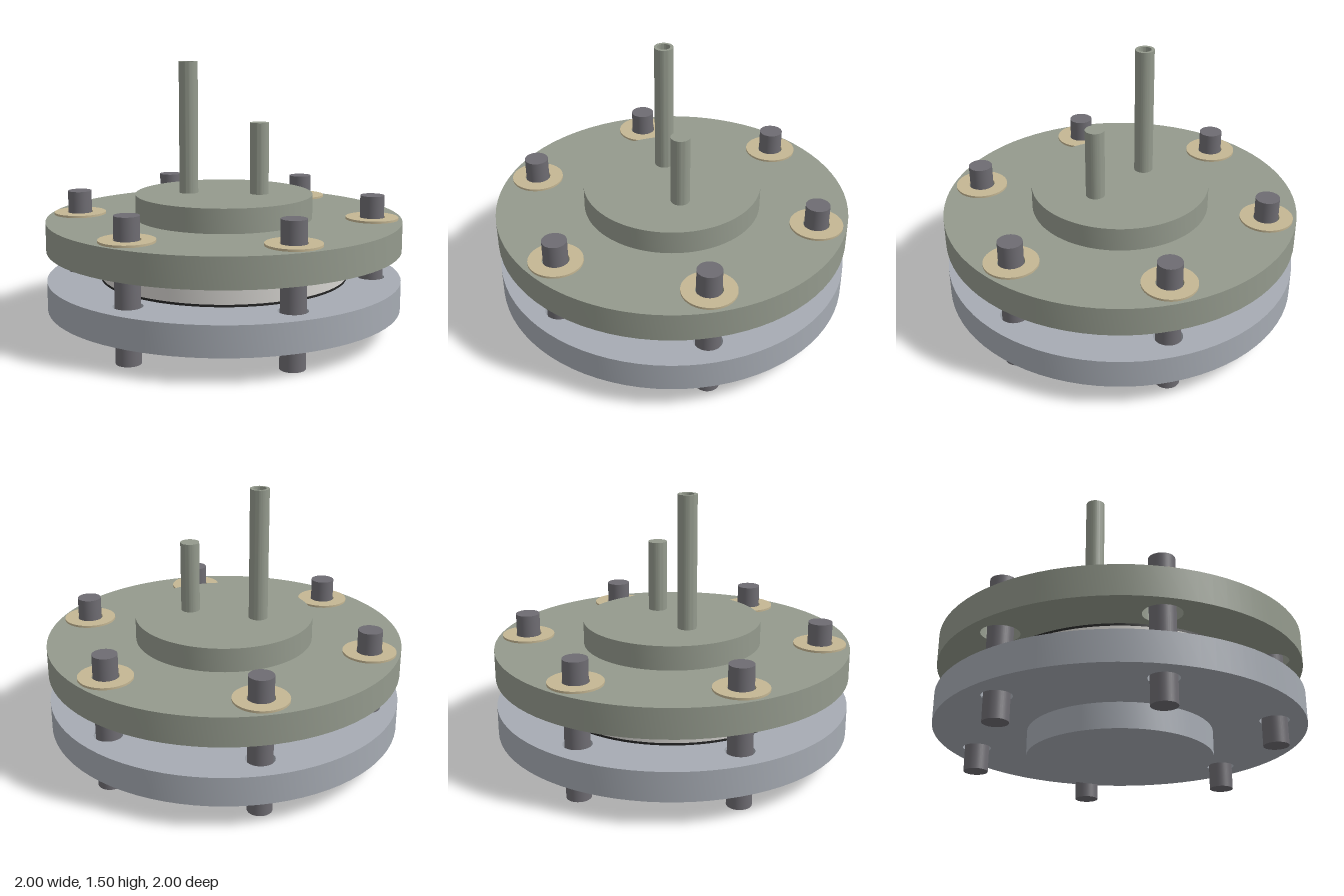
import * as THREE from 'three';
import { toCreasedNormals } from 'three/addons/utils/BufferGeometryUtils.js';

const material = (name, color) => {
  const m = new THREE.MeshStandardMaterial({ color });
  m.name = name;
  return m;
};

export function createModel() {
  const group = new THREE.Group();
  const greenGrey = material('green grey metal', 0x949a8d);
  const blueGrey = material('blue grey metal', 0xa6abb3);
  const darkSteel = material('dark steel', 0x6e6c72);
  const brass = material('pale brass', 0xc4b693);
  const ceramic = material('white ceramic', 0xd6d4d0);
  const rubber = material('black rubber', 0x262626);

  const add = (name, geometry, mat, x = 0, y = 0, z = 0) => {
    const mesh = new THREE.Mesh(geometry, mat);
    mesh.name = name;
    mesh.position.set(x, y, z);
    group.add(mesh);
  };

  // Upright disc from y0 to y1 with round holes given as [x, z, radius]
  const disc = (name, mat, radius, y0, y1, holes = [], x = 0, z = 0) => {
    const shape = new THREE.Shape().absarc(0, 0, radius, 0, Math.PI * 2, false);
    for (const [hx, hz, r] of holes) {
      shape.holes.push(new THREE.Path().absarc(hx, -hz, r, 0, Math.PI * 2, true));
    }
    const geometry = new THREE.ExtrudeGeometry(shape, {
      depth: y1 - y0, bevelEnabled: false, curveSegments: 40,
    });
    geometry.rotateX(-Math.PI / 2);
    add(name, toCreasedNormals(geometry, 0.6), mat, x, y0, z);
  };

  // Six bolt positions on a circle
  const bolts = Array.from({ length: 6 }, (_, i) => {
    const a = i * Math.PI / 3;
    return [0.833 * Math.cos(a), 0.833 * Math.sin(a)];
  });
  const boltHoles = (r) => bolts.map(([x, z]) => [x, z, r]);

  // Lower flange and its boss
  disc('lowerBoss', blueGrey, 0.5, 0, 0.137);
  disc('lowerFlange', blueGrey, 1, 0.137, 0.3, boltHoles(0.078));

  // Ceramic ring between two gaskets
  const bore = [[0, 0, 0.6]];
  disc('lowerGasket', rubber, 0.7, 0.3, 0.313, bore);
  disc('ceramicRing', ceramic, 0.7, 0.313, 0.457, bore);
  disc('upperGasket', rubber, 0.7, 0.457, 0.47, bore);

  // Upper flange and its boss
  disc('upperFlange', greenGrey, 1, 0.47, 0.633, boltHoles(0.1));
  disc('upperBoss', greenGrey, 0.5, 0.633, 0.767);

  // Open tall pipe with a dark bore floor, and closed short pipe
  disc('tallPipe', greenGrey, 0.053, 0.767, 1.505, [[0, 0, 0.036]], -0.2);
  disc('boreFloor', darkSteel, 0.036, 0.767, 0.775, [], -0.2);
  disc('shortPipe', greenGrey, 0.053, 0.767, 1.168, [], 0.2);

  // Bolts and washers
  for (const [x, z] of bolts) {
    add('bolt', new THREE.CylinderGeometry(0.067, 0.067, 0.767, 40), darkSteel, x, 0.3835, z);
    disc('washer', brass, 0.147, 0.633, 0.645, [[0, 0, 0.073]], x, z);
  }
  return group;
}
